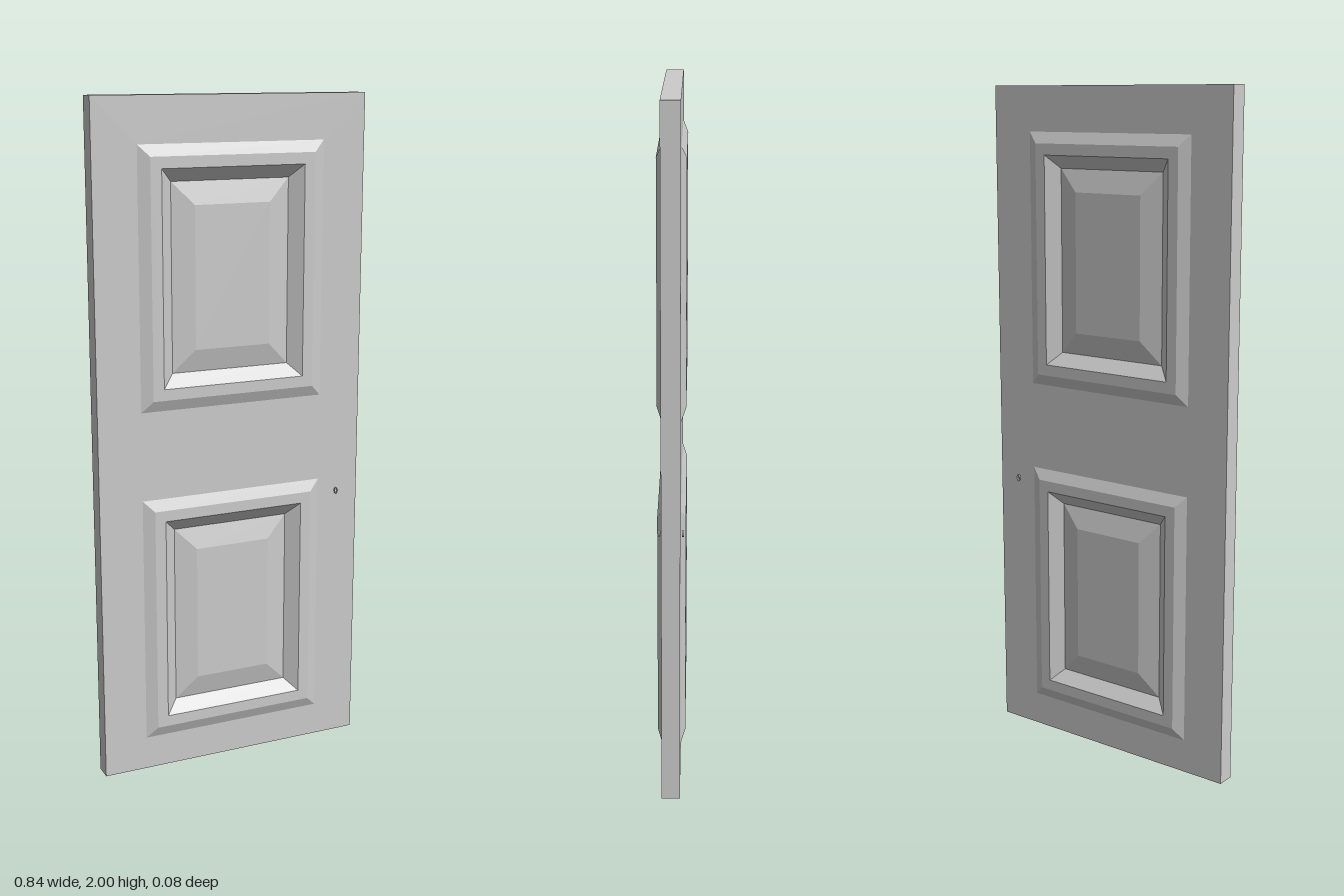
import * as THREE from 'three';

const HALF_W = 0.418, HEIGHT = 2, HALF_T = 0.0264;

// Panel profile: inset from the outer border -> depth
const PROFILE = [
  [0, HALF_T],       // outer foot of the moulding
  [0.033, 0.041],    // ridge, outer edge
  [0.066, 0.041],    // ridge, inner edge
  [0.104, 0.01],     // valley
  [0.17, HALF_T],    // raised field
];
const PANEL_HALF_W = 0.286;
const PANELS = { lower: [0.101, 0.853], upper: [1.117, 1.869] };

// Corners of an upright rectangle, counter-clockwise seen from +z
const rect = (hw, y0, y1, z) => [[-hw, y0, z], [hw, y0, z], [hw, y1, z], [-hw, y1, z]];

// Joins successive rectangles with flat quads, optionally closing the last one
function loftRects(rects, cap) {
  const pos = [];
  const quad = (a, b, c, d) => pos.push(...a, ...b, ...c, ...a, ...c, ...d);
  for (let r = 0; r < rects.length - 1; r++) {
    const a = rects[r], b = rects[r + 1];
    for (let i = 0; i < 4; i++) {
      const j = (i + 1) % 4;
      quad(a[i], a[j], b[j], b[i]);
    }
  }
  if (cap) quad(...rects[rects.length - 1]);
  const g = new THREE.BufferGeometry();
  g.setAttribute('position', new THREE.Float32BufferAttribute(pos, 3));
  g.computeVertexNormals();
  return g;
}

// Flat door face with an opening for each panel
function faceGeometry() {
  const toPoints = (hw, y0, y1) => rect(hw, y0, y1, 0).map(([x, y]) => new THREE.Vector2(x, y));
  const shape = new THREE.Shape(toPoints(HALF_W, 0, HEIGHT));
  for (const [y0, y1] of Object.values(PANELS)) {
    shape.holes.push(new THREE.Path(toPoints(PANEL_HALF_W, y0, y1).reverse()));
  }
  return new THREE.ShapeGeometry(shape).translate(0, 0, HALF_T);
}

export function createModel() {
  const model = new THREE.Group();
  model.name = 'panelDoor';
  const paint = new THREE.MeshStandardMaterial({ color: 0xcccccc });
  paint.name = 'lightGrey';
  paint.side = THREE.DoubleSide;

  const add = (parent, name, geometry) => {
    const mesh = new THREE.Mesh(geometry, paint);
    mesh.name = name;
    parent.add(mesh);
    return mesh;
  };

  // Narrow edges around the slab
  add(model, 'slabEdges', loftRects(
    [rect(HALF_W, 0, HEIGHT, -HALF_T), rect(HALF_W, 0, HEIGHT, HALF_T)], false));

  // Both faces share the same face plate and moulded panels
  const face = faceGeometry();
  for (const [name, turn] of [['front', 0], ['back', Math.PI]]) {
    const side = new THREE.Group();
    side.name = name + 'Side';
    side.rotation.y = turn;
    add(side, name + 'Face', face);
    for (const [level, [y0, y1]] of Object.entries(PANELS)) {
      const rings = PROFILE.map(([d, z]) => rect(PANEL_HALF_W - d, y0 + d, y1 - d, z));
      add(side, name + level[0].toUpperCase() + level.slice(1) + 'Panel', loftRects(rings, true));
    }
    model.add(side);
  }

  // Tiny open keyhole collars, just off each face
  const collar = new THREE.CylinderGeometry(0.005, 0.005, 0.006, 8, 1, true)
    .rotateX(Math.PI / 2).scale(1, 2, 1);
  for (const s of [1, -1]) {
    add(model, s > 0 ? 'frontKeyhole' : 'backKeyhole', collar).position.set(0.344, 0.81, s * 0.0332);
  }
  return model;
}
